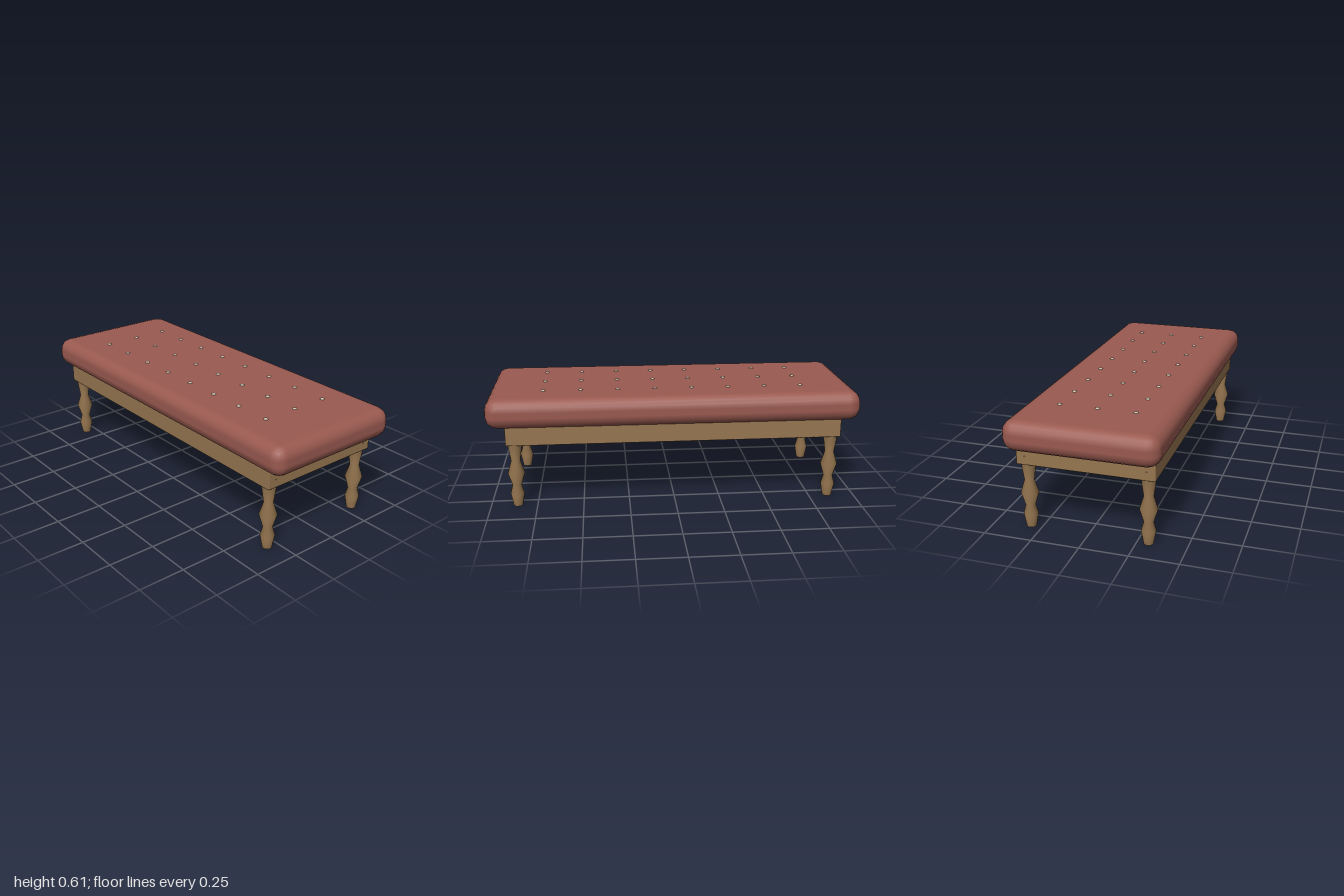
import * as THREE from 'three';
import { RoundedBoxGeometry } from 'three/addons/geometries/RoundedBoxGeometry.js';

export function createModel() {
  const model = new THREE.Group();
  model.name = 'tuftedBench';
  const fabric = new THREE.MeshStandardMaterial({ color: 0x9a5a50 });
  const wood = new THREE.MeshStandardMaterial({ color: 0x967650 });
  const buttonMaterial = new THREE.MeshStandardMaterial({ color: 0xc8c0aa });

  function add(name, geometry, material, x, y, z) {
    const mesh = new THREE.Mesh(geometry, material);
    mesh.name = name;
    mesh.position.set(x, y, z);
    model.add(mesh);
    return mesh;
  }

  // Padded seat with soft edges
  add('cushion', new RoundedBoxGeometry(2, 0.161, 0.786, 2, 0.066), fabric, 0, 0.5275, 0);

  // Solid wooden base, tucked slightly into the cushion
  add('apron', new RoundedBoxGeometry(1.8, 0.117, 0.708, 1, 0.006), wood, 0, 0.4105, 0);

  // Turned legs: [radius, height] from the foot up into the base
  const profile = [
    [0, 0], [0.025, 0], [0.025, 0], [0.038, 0.07], [0.025, 0.117],
    [0.046, 0.187], [0.025, 0.255], [0.039, 0.353], [0.046, 0.4], [0, 0.4],
  ].map(([r, y]) => new THREE.Vector2(r, y));
  const legGeometry = new THREE.LatheGeometry(profile, 16);
  for (const x of [-1, 1]) {
    for (const z of [-1, 1]) {
      const name = (z > 0 ? 'front' : 'back') + (x > 0 ? 'Left' : 'Right') + 'Leg';
      add(name, legGeometry, wood, x * 0.855, 0, z * 0.308);
    }
  }

  // Tufting buttons, three rows of eight
  const buttonGeometry = new THREE.SphereGeometry(0.0125, 12, 8);
  for (let row = -1; row <= 1; row++) {
    for (let col = 0; col < 8; col++) {
      const button = add('button', buttonGeometry, buttonMaterial, -0.7 + col * 0.2, 0.607, row * 0.197);
      button.scale.y = 0.6;
    }
  }
  return model;
}
